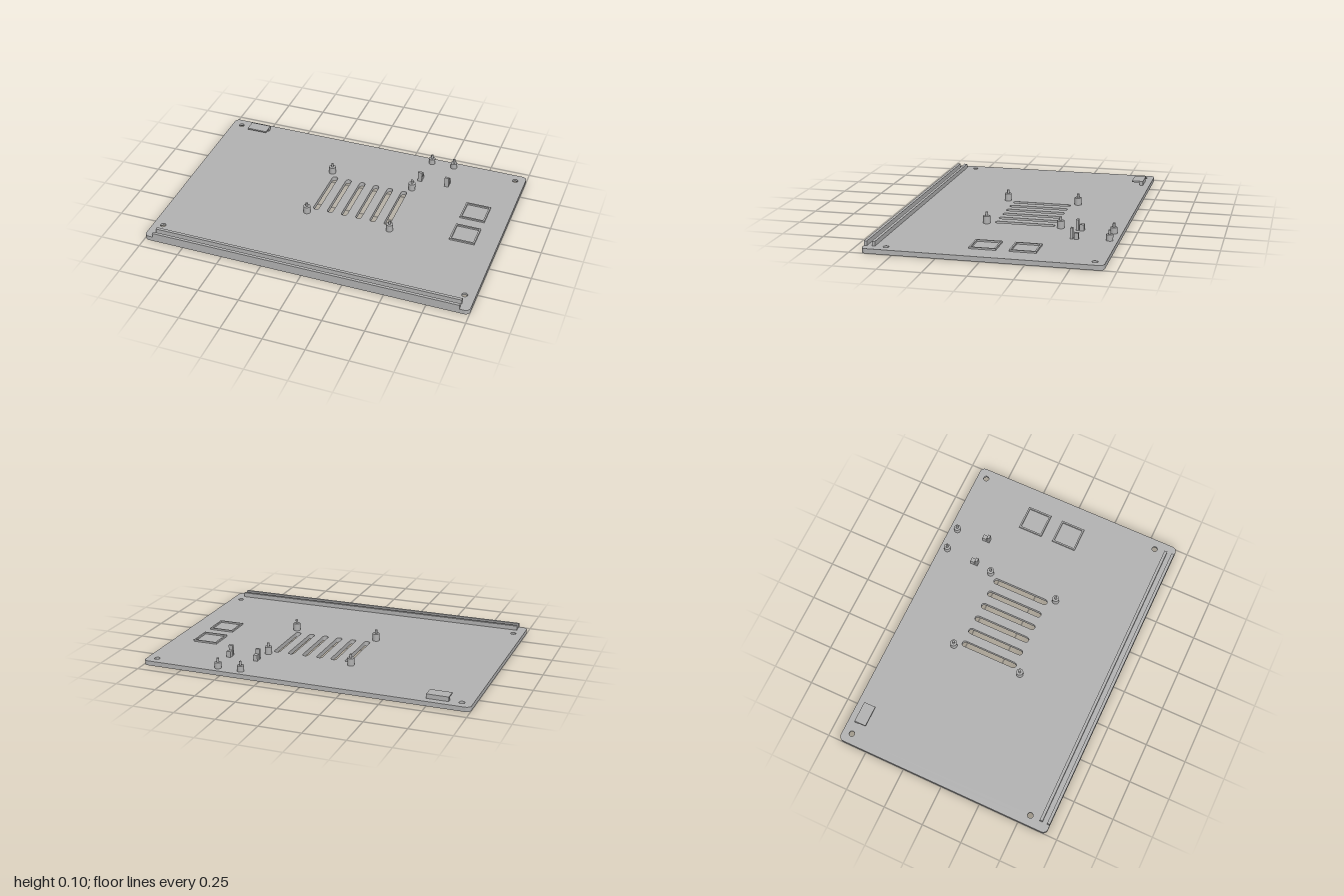
import * as THREE from 'three';

const grey = new THREE.MeshStandardMaterial({ color: 0xb2b2b2 });
grey.name = 'plain grey';

const TOP = 0.028;  // upper face of the plate
const STEP = 0.014; // depth of the screw recesses underneath

function add(parent, name, geometry) {
  const mesh = new THREE.Mesh(geometry, grey);
  mesh.name = name;
  parent.add(mesh);
  return mesh;
}

// Box given by its limits on each axis
function block(parent, name, x0, x1, y0, y1, z0, z1) {
  const g = new THREE.BoxGeometry(x1 - x0, y1 - y0, z1 - z0);
  g.translate((x0 + x1) / 2, (y0 + y1) / 2, (z0 + z1) / 2);
  return add(parent, name, g);
}

// Rounded rectangle in plan (shape y is model z)
function roundRect(path, x0, x1, z0, z1, r) {
  path.moveTo(x0 + r, z0);
  path.absarc(x1 - r, z0 + r, r, -Math.PI / 2, 0);
  path.absarc(x1 - r, z1 - r, r, 0, Math.PI / 2);
  path.absarc(x0 + r, z1 - r, r, Math.PI / 2, Math.PI);
  path.absarc(x0 + r, z0 + r, r, Math.PI, Math.PI * 1.5);
  path.closePath();
  return path;
}

// Plan shape extruded between two heights
function slab(shape, y0, y1) {
  const g = new THREE.ExtrudeGeometry(shape, { depth: y1 - y0, bevelEnabled: false, curveSegments: 10 });
  return g.rotateX(Math.PI / 2).translate(0, y1, 0);
}

// Plate layer with ventilation slots and corner screw holes
function plateShape(holeRadius) {
  const shape = roundRect(new THREE.Shape(), -1, 1, -0.68, 0.68, 0.03);
  for (let i = 0; i < 6; i++) {
    const x = -0.137 + i * 0.0912;
    shape.holes.push(roundRect(new THREE.Path(), x - 0.018, x + 0.018, -0.274, 0.088, 0.0179));
  }
  for (const x of [-0.938, 0.938]) {
    for (const z of [-0.622, 0.552]) {
      const hole = new THREE.Path();
      hole.absarc(x, z, holeRadius, 0, Math.PI * 2);
      shape.holes.push(hole);
    }
  }
  return shape;
}

// Round standoff with a locating pin
function post(parent, name, x, z, radius, shoulder, tip) {
  const group = new THREE.Group();
  group.name = name;
  group.position.set(x, TOP, z);
  const body = new THREE.CylinderGeometry(radius, radius, shoulder - TOP, 28);
  add(group, 'standoff', body.translate(0, (shoulder - TOP) / 2, 0));
  const pin = new THREE.CylinderGeometry(0.0075, 0.0075, tip - shoulder, 20);
  add(group, 'pin', pin.translate(0, (tip + shoulder) / 2 - TOP, 0));
  parent.add(group);
}

export function createModel() {
  const model = new THREE.Group();
  model.name = 'basePanel';

  // Plate, with wider screw recesses in the lower layer
  add(model, 'lowerPlate', slab(plateShape(0.031), 0, STEP));
  add(model, 'upperPlate', slab(plateShape(0.017), STEP, TOP));

  // Twin rails along the front
  block(model, 'outerRail', -0.945, 0.943, TOP, 0.055, 0.662, 0.68);
  block(model, 'innerRail', -0.945, 0.943, TOP, 0.055, 0.615, 0.633);

  // Board mounts around the slots, and two smaller ones at the back
  for (const x of [-0.175, 0.353]) {
    for (const z of [-0.314, 0.131]) post(model, 'boardPost', x, z, 0.021, 0.073, 0.096);
  }
  for (const x of [0.388, 0.533]) post(model, 'rearPost', x, -0.632, 0.02, 0.064, 0.089);

  // Pairs of clip tabs
  for (const x of [0.374, 0.548]) {
    block(model, 'tallTab', x - 0.013, x + 0.013, TOP, 0.093, -0.426, -0.411);
    block(model, 'shortTab', x - 0.013, x + 0.013, TOP, 0.065, -0.458, -0.432);
  }

  // Low square frames on the left side
  for (const z of [-0.208, 0.021]) {
    const frame = roundRect(new THREE.Shape(), 0.714, 0.868, z - 0.077, z + 0.077, 0.0005);
    frame.holes.push(roundRect(new THREE.Path(), 0.724, 0.858, z - 0.067, z + 0.067, 0.0005));
    add(model, 'squareFrame', slab(frame, TOP, 0.038));
  }

  // Hooked bracket in the back right corner
  block(model, 'bracketWall', -0.867, -0.737, TOP, 0.055, -0.638, -0.614);
  block(model, 'bracketShelf', -0.867, -0.737, 0.046, 0.055, -0.614, -0.565);

  return model;
}
